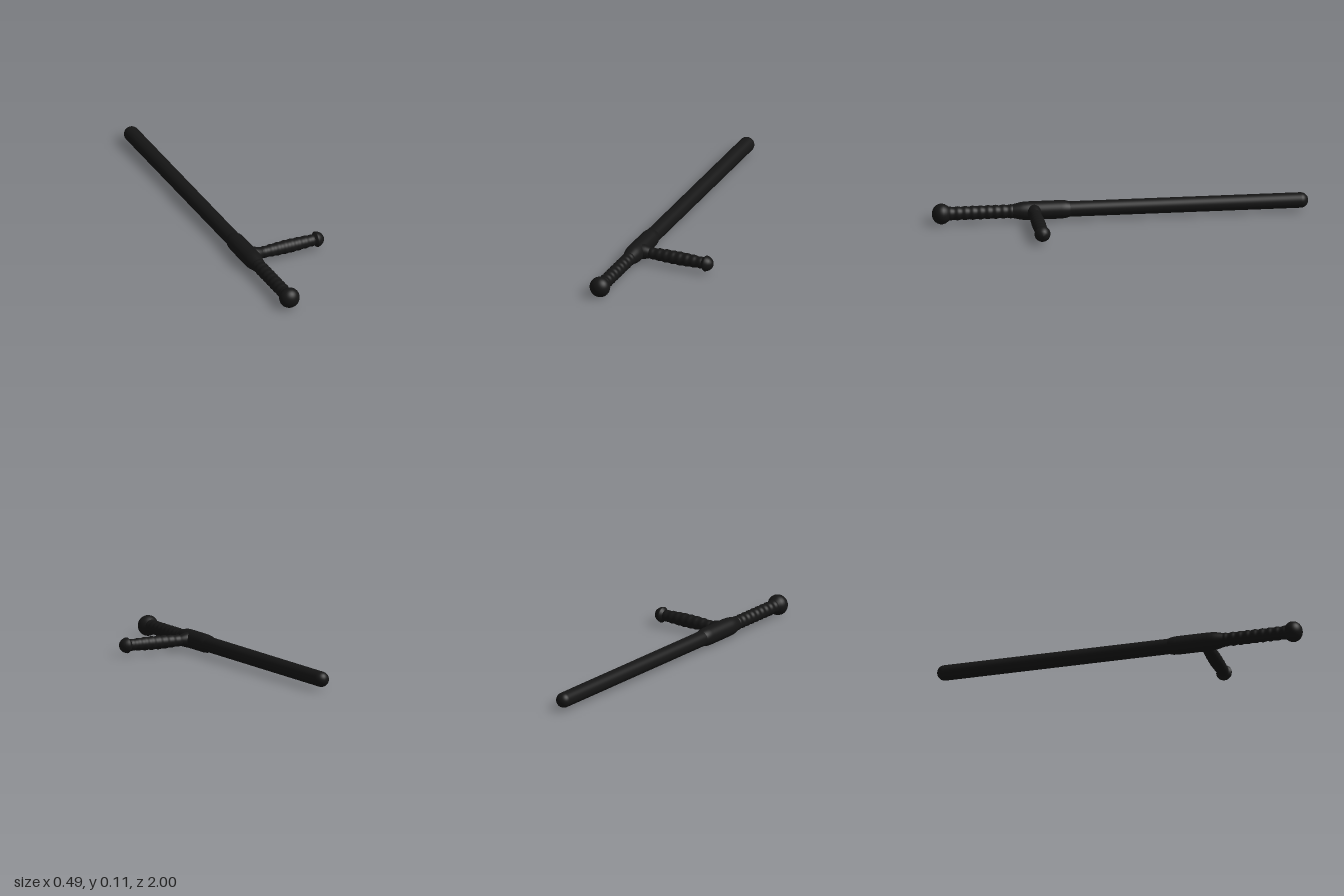
import * as THREE from 'three';

const AXIS_X = -0.192, AXIS_Y = 0.055, HANDLE_Z = 0.46;
const material = new THREE.MeshStandardMaterial({ color: 0x151515 });

// Turned part from [radius, position along axis] pairs
function turned(name, pairs) {
  const points = pairs.map(([r, t]) => new THREE.Vector2(r, t));
  const mesh = new THREE.Mesh(new THREE.LatheGeometry(points, 40), material);
  mesh.name = name;
  return mesh;
}

// Rippled grip: base radius plus evenly spaced finger ridges
function ripples(start, end, count, baseRadius, amplitude) {
  const steps = count * 8;
  return Array.from({ length: steps + 1 }, (_, i) => {
    const u = i / steps;
    const wave = -Math.cos(u * count * Math.PI * 2) * amplitude;
    return [baseRadius(u) + wave, start + (end - start) * u];
  });
}

// Rounded end cap bulging from t0 to t1, radius r at t0
function dome(r, t0, t1, steps = 10) {
  return Array.from({ length: steps + 1 }, (_, i) => {
    const a = (i / steps) * Math.PI / 2;
    return [i === steps ? 0 : r * Math.cos(a), t0 + (t1 - t0) * Math.sin(a)];
  });
}

export function createModel() {
  const model = new THREE.Group();
  model.name = 'sideHandleBaton';

  // Main body, turned along z
  const body = new THREE.Group();
  body.name = 'body';
  body.rotation.x = Math.PI / 2;
  body.position.set(AXIS_X, AXIS_Y, 0);
  body.add(
    turned('shaft', [...dome(0.041, -0.96, -1).reverse(), [0.041, 0.28]]),
    turned('collar', [
      [0.040, 0.265], [0.043, 0.275], [0.047, 0.29], [0.049, 0.315],
      [0.049, 0.49], [0.048, 0.515], [0.045, 0.535], [0.039, 0.56], [0.034, 0.58],
    ]),
    turned('mainGrip', ripples(0.56, 0.925, 9, () => 0.0355, 0.002)),
    turned('pommel', [
      [0.034, 0.908], [0.043, 0.918], [0.051, 0.93], [0.0545, 0.942],
      ...dome(0.055, 0.95, 1),
    ]),
  );

  // Side handle, turned along x
  const handle = new THREE.Group();
  handle.name = 'sideHandle';
  handle.rotation.z = -Math.PI / 2;
  handle.position.set(0, AXIS_Y, HANDLE_Z);
  handle.add(
    turned('handleRoot', [[0.042, -0.18], [0.04, -0.155], [0.036, -0.14], [0.031, -0.125], [0.028, -0.118]]),
    turned('handleGrip', ripples(-0.125, 0.195, 8, u => 0.029 + 0.0065 * Math.sin(u * Math.PI), 0.0015)),
    turned('handleKnob', [
      [0.028, 0.183], [0.034, 0.191], [0.040, 0.197], [0.0425, 0.201],
      [0.0415, 0.207], [0.0385, 0.216], [0.033, 0.226], [0.025, 0.235], [0.013, 0.242], [0, 0.244],
    ]),
  );

  model.add(body, handle);
  return model;
}
